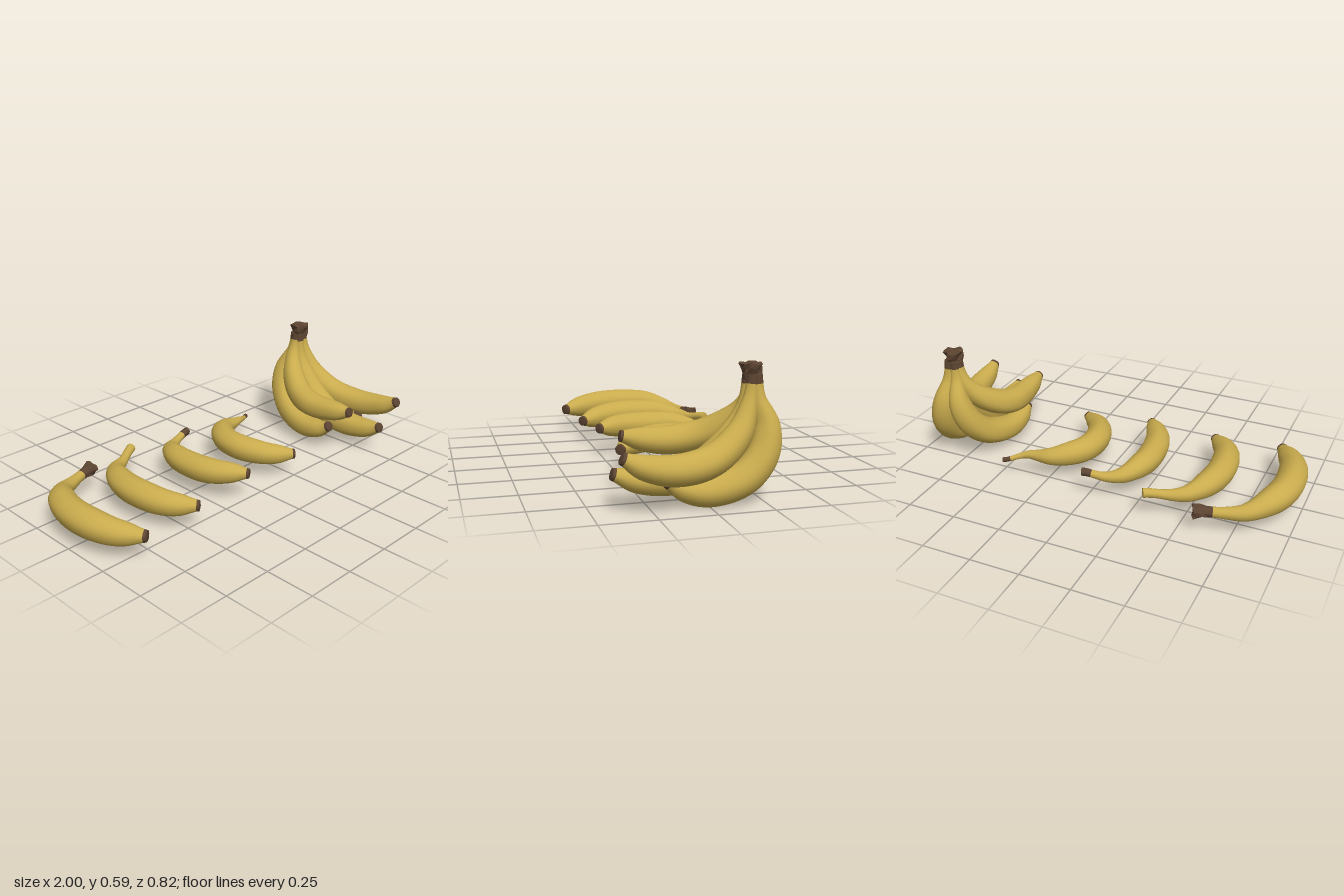
import * as THREE from 'three';

const { smoothstep, lerp } = THREE.MathUtils;
const SIDES = 24;
const SEGS = 64;

const peel = new THREE.MeshStandardMaterial({ color: 0xc9ab4d });
peel.name = 'yellow peel';
const bark = new THREE.MeshStandardMaterial({ color: 0x5c4431 });
bark.name = 'brown stem';

// Relative thickness from stem to blossom tip, in even steps
const thickness = (values) => {
  const curve = new THREE.SplineCurve(values.map((v, i) => new THREE.Vector2(i, v)));
  return (u) => curve.getPoint(u).y;
};
const looseGirth = thickness([0.34, 0.33, 0.47, 0.68, 0.89, 0.97, 1, 0.99, 0.9, 0.73, 0.37]);
const bunchGirth = thickness([0.36, 0.43, 0.63, 0.84, 0.95, 0.99, 1, 0.96, 0.87, 0.7, 0.37]);

// Smooth planar curve, sampled by arc length
const planar = (points) => {
  const curve = new THREE.CatmullRomCurve3(points.map(([a, b]) => new THREE.Vector3(a, b, 0)));
  return (u) => curve.getPointAt(u);
};

// Tapered tube around the centre line at(u), with brown tip and optional brown stem
function banana(name, at, radius, side, brownRings) {
  const pos = [], stem = [], body = [], tip = [];

  const ring = (u) => {
    const c = at(u), r = radius(u);
    const T = at(Math.min(1, u + 0.005)).sub(at(Math.max(0, u - 0.005))).normalize();
    const a = side.clone().addScaledVector(T, -side.dot(T)).normalize();
    const b = new THREE.Vector3().crossVectors(T, a);
    for (let j = 0; j < SIDES; j++) {
      const q = (j / SIDES) * Math.PI * 2;
      const k = r * (1 + 0.02 * Math.cos(5 * q)); // five soft ridges
      const v = c.clone().addScaledVector(a, k * Math.cos(q)).addScaledVector(b, k * Math.sin(q));
      pos.push(v.x, v.y, v.z);
    }
    return { c, T, r };
  };

  for (let i = 0; i <= SEGS; i++) ring(i / SEGS);
  for (let i = 0; i < SEGS; i++) {
    const list = i < brownRings ? stem : i === SEGS - 1 ? tip : body;
    for (let j = 0; j < SIDES; j++) {
      const p = i * SIDES + j, q = i * SIDES + ((j + 1) % SIDES);
      list.push(p, q, p + SIDES, q, q + SIDES, p + SIDES);
    }
  }

  // slightly domed ends with their own rim so the edge stays crisp
  for (const u of [0, 1]) {
    const start = pos.length / 3;
    const { c, T, r } = ring(u);
    c.addScaledVector(T, (u ? 1 : -1) * r * 0.2);
    pos.push(c.x, c.y, c.z);
    const list = u ? tip : brownRings ? stem : body;
    for (let j = 0; j < SIDES; j++) {
      const p = start + j, q = start + ((j + 1) % SIDES);
      if (u) list.push(p, q, start + SIDES);
      else list.push(q, p, start + SIDES);
    }
  }

  const g = new THREE.BufferGeometry();
  g.setAttribute('position', new THREE.Float32BufferAttribute(pos, 3));
  g.setIndex([...stem, ...body, ...tip]);
  g.addGroup(0, stem.length, 0);
  g.addGroup(stem.length, body.length, 1);
  g.addGroup(stem.length + body.length, tip.length, 0);
  g.computeVertexNormals();
  const mesh = new THREE.Mesh(g, [bark, peel]);
  mesh.name = name;
  return mesh;
}

// Rough, faceted lump of dried stem
function knob(name, top, bottom, height, x, y, z) {
  const g = new THREE.CylinderGeometry(top, bottom, height, 11, 3);
  const p = g.attributes.position;
  for (let i = 0; i < p.count; i++) {
    const a = Math.atan2(p.getZ(i), p.getX(i)), h = p.getY(i) / height;
    const s = 1 + 0.13 * Math.sin(3 * a + 5 * h) + 0.08 * Math.cos(5 * a - 4 * h);
    const lift = Math.hypot(p.getX(i), p.getZ(i)) > 0.001 ? 0.08 * height * Math.sin(4 * a) : 0;
    p.setXYZ(i, p.getX(i) * s, p.getY(i) + lift, p.getZ(i) * s);
  }
  const flat = g.toNonIndexed();
  flat.computeVertexNormals();
  const mesh = new THREE.Mesh(flat, bark);
  mesh.name = name;
  mesh.position.set(x, y, z);
  return mesh;
}

// Loose bananas: line in (x, z), heights at stem, neck, belly and tip
const LOOSE = [
  { r: 0.073, stem: 1.1, brown: 5, y: [0.115, 0.11, 0.137, 0.126],
    line: [[-0.59, -0.38], [-0.72, -0.335], [-0.81, -0.29], [-0.9, -0.16], [-0.927, 0], [-0.895, 0.175], [-0.805, 0.322]] },
  { r: 0.069, stem: 1, brown: 0, y: [0.14, 0.12, 0.133, 0.122],
    line: [[-0.32, -0.38], [-0.42, -0.322], [-0.505, -0.272], [-0.572, -0.15], [-0.59, 0], [-0.555, 0.16], [-0.458, 0.285]] },
  { r: 0.066, stem: 0.9, brown: 4, y: [0.14, 0.12, 0.137, 0.15],
    line: [[0.025, -0.328], [-0.09, -0.295], [-0.16, -0.25], [-0.213, -0.14], [-0.222, -0.02], [-0.196, 0.12], [-0.106, 0.265]] },
  { r: 0.066, stem: 0.55, brown: 3, y: [0.09, 0.12, 0.136, 0.12],
    line: [[0.478, -0.32], [0.37, -0.264], [0.22, -0.232], [0.12, -0.135], [0.097, 0], [0.152, 0.14], [0.262, 0.24]] },
];

function looseBanana({ r, stem, brown, y, line }, index) {
  const flat = planar(line);
  const at = (u) => {
    const p = flat(u);
    const h = y[0] + (y[1] - y[0]) * smoothstep(u, 0, 0.18)
      + (y[2] - y[1]) * smoothstep(u, 0.18, 0.45) + (y[3] - y[2]) * smoothstep(u, 0.6, 1);
    return new THREE.Vector3(p.x, h, p.y);
  };
  const radius = (u) => r * looseGirth(u) * lerp(stem, 1, smoothstep(u, 0, 0.3));
  return banana('looseBanana' + (index + 1), at, radius, new THREE.Vector3(0, 1, 0), brown);
}

// Hanging bananas: line in (z, y), spreading sideways from x[0] to x[1]
const CROWN_Y = 0.545;
const LOWER = [[-0.225, CROWN_Y], [-0.232, 0.44], [-0.265, 0.325], [-0.24, 0.21], [-0.15, 0.115], [0, 0.071], [0.11, 0.087], [0.185, 0.125]];
const BUNCH = [
  { name: 'upperLeftBanana', r: 0.07, x: [0.82, 0.94], spread: 0.85, drop: 1,
    line: [[-0.21, CROWN_Y], [-0.19, 0.43], [-0.135, 0.305], [-0.02, 0.213], [0.14, 0.183], [0.29, 0.205], [0.39, 0.25]] },
  { name: 'middleBanana', r: 0.07, x: [0.785, 0.785], spread: 1, drop: 1,
    line: [[-0.2, CROWN_Y], [-0.185, 0.4], [-0.125, 0.28], [-0.03, 0.18], [0.1, 0.114], [0.27, 0.11], [0.397, 0.148]] },
  { name: 'upperRightBanana', r: 0.067, x: [0.775, 0.608], spread: 0.65, drop: 1,
    line: [[-0.21, CROWN_Y], [-0.205, 0.42], [-0.16, 0.34], [-0.05, 0.265], [0.08, 0.239], [0.2, 0.245], [0.32, 0.268]] },
  { name: 'lowerLeftBanana', r: 0.074, x: [0.815, 0.878], spread: 0.6, drop: 1, line: LOWER },
  { name: 'lowerRightBanana', r: 0.07, x: [0.785, 0.612], spread: 0.95, drop: 0.955, line: LOWER },
];

function hangingBanana({ name, r, x, spread, drop, line }) {
  const flat = planar(line);
  const at = (u) => {
    const p = flat(u);
    return new THREE.Vector3(lerp(x[0], x[1], smoothstep(u, 0, spread)), lerp(CROWN_Y, p.y, drop), p.x);
  };
  return banana(name, at, (u) => r * bunchGirth(u), new THREE.Vector3(1, 0, 0), 3);
}

export function createModel() {
  const model = new THREE.Group();
  model.name = 'bananas';
  LOOSE.forEach((spec, i) => model.add(looseBanana(spec, i)));

  // dried end of the first loose banana
  const end = knob('looseStemEnd', 0.036, 0.024, 0.07, -0.605, 0.113, -0.376);
  end.rotation.set(0, 0.35, -Math.PI / 2);
  model.add(end);

  const bunch = new THREE.Group();
  bunch.name = 'bunch';
  BUNCH.forEach((spec) => bunch.add(hangingBanana(spec)));
  bunch.add(knob('crown', 0.05, 0.036, 0.065, 0.8, 0.56, -0.207));
  model.add(bunch);

  return model;
}
